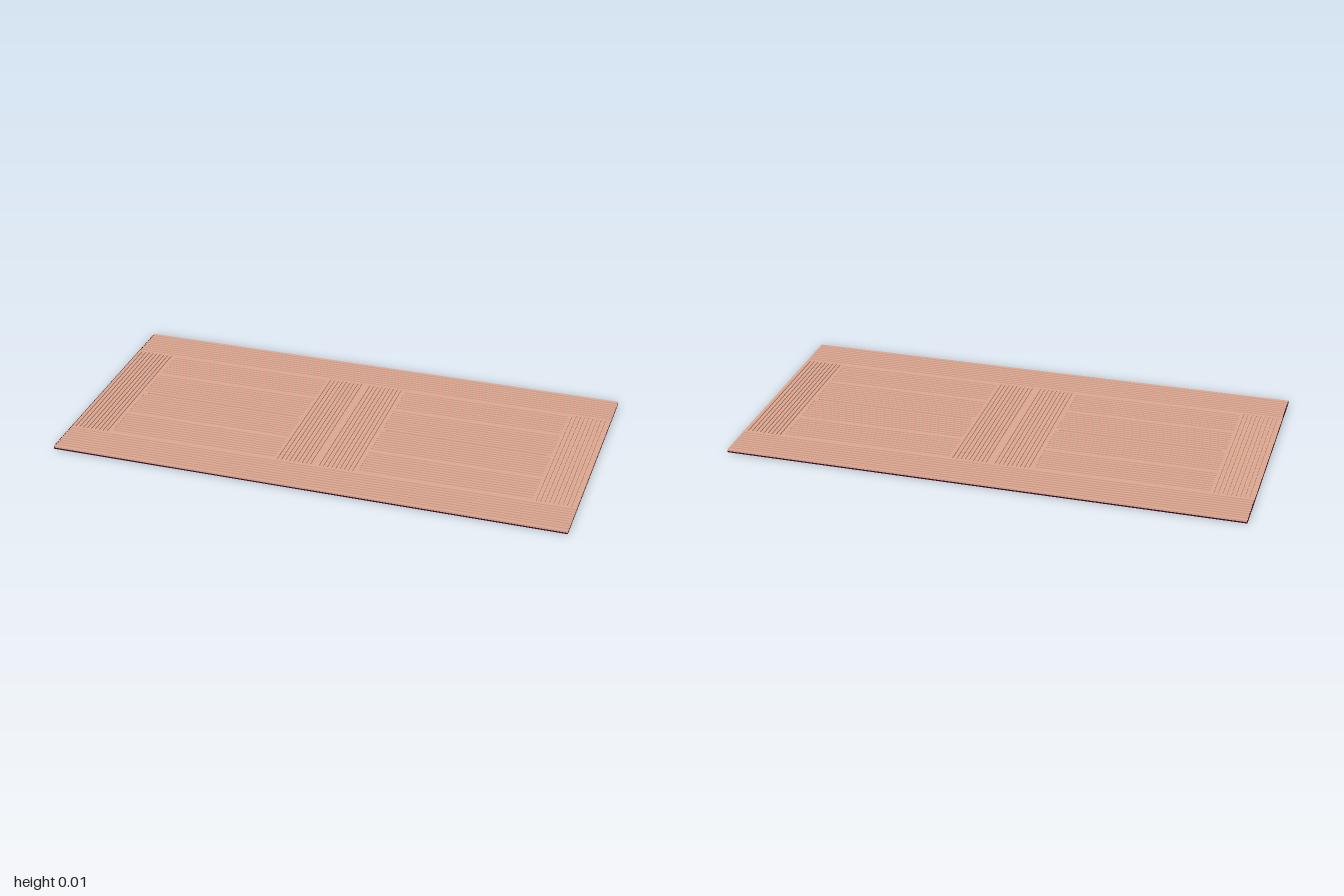
import * as THREE from 'three';

const TILE = 1, BOARD = 1 / 6, BASE_TOP = 0.005, FLOOR = 0.0075, TOP = 0.012;
const GROOVES = 9, PITCH = 0.0165, GROOVE = 0.007, GAP = 0.011, LIP = 0.002;

export function createModel() {
  const wood = new THREE.MeshStandardMaterial({ color: 0xdea892 });
  wood.name = 'light wood';
  const dark = new THREE.MeshStandardMaterial({ color: 0x30061b });
  dark.name = 'dark base';

  const model = new THREE.Group();
  model.name = 'deckPanel';

  // Box given by its sizes, bottom and top heights and centre
  function slab(name, material, w, y0, y1, d, z = 0, x = 0) {
    const mesh = new THREE.Mesh(new THREE.BoxGeometry(w, y1 - y0, d), material);
    mesh.position.set(x, (y0 + y1) / 2, z);
    mesh.name = name;
    return mesh;
  }

  // Ribbed board running along x: flat body, wide edge ribs, narrow ribs between the grooves
  function board(name, length, width) {
    const group = new THREE.Group();
    group.name = name;
    group.add(slab('boardBody', wood, length, BASE_TOP, FLOOR, width));
    const first = -((GROOVES - 1) * PITCH) / 2;
    let start = -width / 2;
    for (let i = 0; i <= GROOVES; i++) {
      const end = i < GROOVES ? first + i * PITCH - GROOVE / 2 : width / 2;
      group.add(slab('rib', wood, length, FLOOR, TOP, end - start, (start + end) / 2));
      start = end + GROOVE;
    }
    return group;
  }

  // Backing sheet with a thin upright lip along its right end
  model.add(slab('base', dark, 2 * TILE, 0, BASE_TOP, TILE));
  model.add(slab('endLip', dark, LIP, BASE_TOP, TOP, TILE, 0, -TILE + LIP / 2 - 0.0005));

  // Two square tiles side by side
  for (const side of [-1, 1]) {
    const tile = new THREE.Group();
    tile.name = side < 0 ? 'rightTile' : 'leftTile';
    tile.position.x = side * TILE / 2;

    const inner = TILE - 2 * BOARD;
    for (const s of [-1, 1]) {
      // Long border boards
      const border = board('borderBoard', TILE, BOARD);
      border.position.z = s * (TILE - BOARD) / 2;
      tile.add(border);

      // Cross boards at the tile ends
      const cross = board('crossBoard', inner, BOARD);
      cross.rotation.y = Math.PI / 2;
      cross.position.x = s * (TILE - BOARD) / 2;
      tile.add(cross);

      // Inner boards, with a slot along the centre line
      const outerField = board('fieldBoard', inner, BOARD);
      outerField.position.z = s * BOARD * 1.5;
      const width = BOARD - GAP / 2;
      const innerField = board('fieldBoard', inner, width);
      innerField.position.z = s * (BOARD - width / 2);
      tile.add(outerField, innerField);

      // Short bridges closing the slot, and a fine seam in one groove
      tile.add(slab('slotBridge', wood, 0.015, BASE_TOP, TOP, GAP, 0, s * (inner / 2 - 0.0075)));
      tile.add(slab('seam', dark, inner - 0.03, FLOOR, FLOOR + 0.0005, 0.0015,
        s * (BOARD * 1.5 + 3 * PITCH)));
    }
    model.add(tile);
  }
  return model;
}
